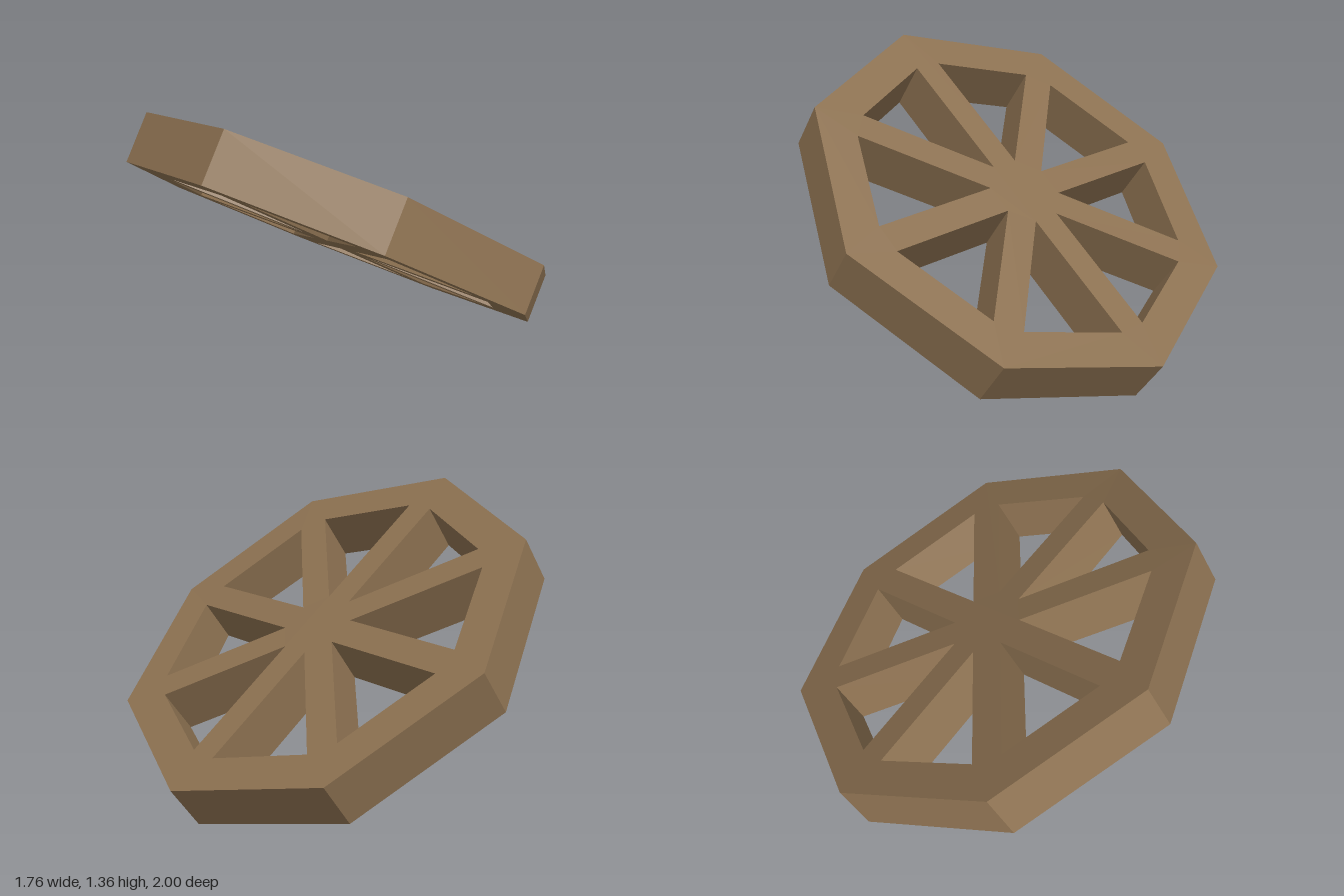
import * as THREE from 'three';

const TILT = 0.6255;      // lean of the wheel about z
const THICK = 0.236;
const APOTHEM = 0.755;    // distance from hub to inner face of the rim
const HALF = 0.067;       // half width of a spoke
const SIDES = 8;

const polar = (r, a) => new THREE.Vector2(r * Math.cos(a), r * Math.sin(a));

export function createModel() {
  const group = new THREE.Group();
  group.name = 'spokedWheel';
  const step = (Math.PI * 2) / SIDES;
  const h = step / 2;

  // octagonal outline with a corner at the end of every spoke
  const outline = new THREE.Shape(Array.from({ length: SIDES }, (_, i) => polar(1, i * step)));

  // triangular openings between neighbouring spokes
  const reach = (APOTHEM - HALF * Math.sin(h)) / Math.cos(h);
  const cornerR = Math.hypot(reach, HALF);
  const cornerA = Math.atan2(HALF, reach);
  for (let i = 0; i < SIDES; i++) {
    const a = i * step;
    outline.holes.push(new THREE.Path([
      polar(HALF / Math.sin(h), a + h),
      polar(cornerR, a + step - cornerA),
      polar(cornerR, a + cornerA),
    ]));
  }

  const geo = new THREE.ExtrudeGeometry(outline, { depth: THICK, bevelEnabled: false });
  geo.rotateX(-Math.PI / 2);

  // upper face dips slightly towards the front corner
  const p = geo.attributes.position;
  for (let i = 0; i < p.count; i++) {
    if (p.getY(i) > THICK / 2) {
      p.setY(i, p.getY(i) - 0.018 * Math.max(0, p.getZ(i) - Math.abs(p.getX(i))));
    }
  }
  geo.computeVertexNormals();

  const wheel = new THREE.Mesh(geo, new THREE.MeshStandardMaterial({ color: 0x8b7050 }));
  wheel.name = 'rimAndSpokes';
  wheel.rotation.z = -TILT;
  wheel.position.set(-THICK / 2 * Math.sin(TILT), Math.sin(TILT), 0);
  group.add(wheel);
  return group;
}
